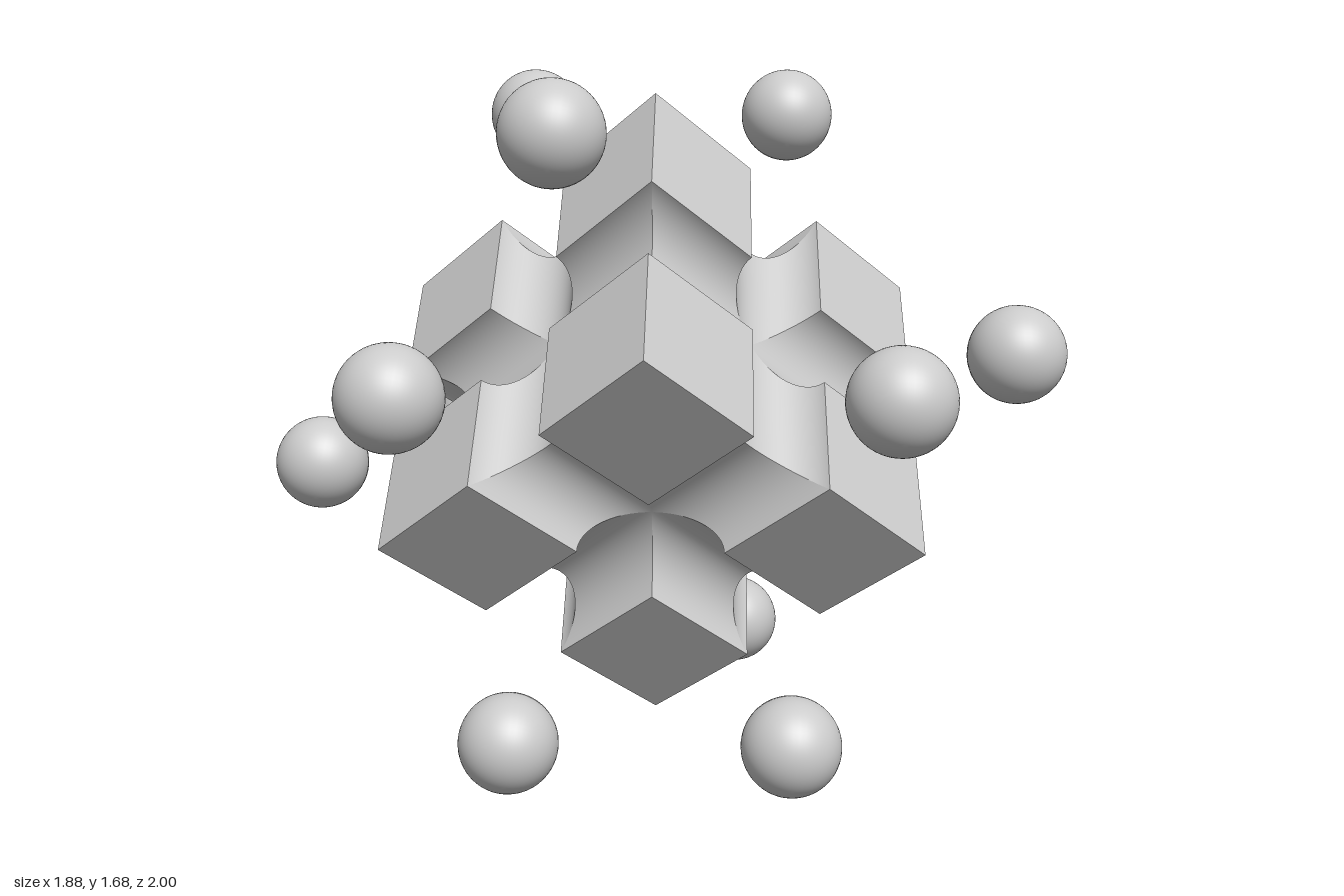
import * as THREE from 'three';
import { mergeGeometries } from 'three/addons/utils/BufferGeometryUtils.js';

const HALF = 0.456;      // half side of the cube
const GROOVE = 0.123;    // radius of the round grooves
const BALL = 0.12;       // radius of the orbiting balls
const NEAR = 0.475, FAR = 0.77; // ball offsets along two cube axes

// One arm of the cross-shaped groove on the top face: a half-round channel
// from the mitred face centre out to the edge of the cube.
function grooveArm(steps = 32) {
  const pos = [], nor = [], idx = [];
  for (let i = 0; i <= steps; i++) {
    const t = (Math.PI * i) / steps;
    const x = -GROOVE * Math.cos(t);
    const y = HALF - GROOVE * Math.sin(t);
    pos.push(x, y, Math.abs(x), x, y, y);
    for (let j = 0; j < 2; j++) nor.push(Math.cos(t), Math.sin(t), 0);
    if (i < steps) {
      const a = i * 2;
      idx.push(a, a + 1, a + 2, a + 1, a + 3, a + 2);
    }
  }
  const g = new THREE.BufferGeometry();
  g.setAttribute('position', new THREE.Float32BufferAttribute(pos, 3));
  g.setAttribute('normal', new THREE.Float32BufferAttribute(nor, 3));
  g.setIndex(idx);
  return g;
}

// Flat square left standing at one corner of the top face
function cornerSquare() {
  const mid = (GROOVE + HALF) / 2;
  const g = new THREE.PlaneGeometry(HALF - GROOVE, HALF - GROOVE);
  g.deleteAttribute('uv');
  return g.rotateX(-Math.PI / 2).translate(mid, HALF, mid);
}

// Four arms and four squares make a face; six faces make the cube
function groovedCube() {
  const quarter = mergeGeometries([grooveArm(), cornerSquare()]);
  const face = mergeGeometries([0, 1, 2, 3].map((k) => quarter.clone().rotateY((k * Math.PI) / 2)));
  const faces = [0, 1, 2, 3].map((k) => face.clone().rotateX((k * Math.PI) / 2));
  faces.push(face.clone().rotateZ(Math.PI / 2), face.clone().rotateZ(-Math.PI / 2));
  return mergeGeometries(faces);
}

export function createModel() {
  const material = new THREE.MeshStandardMaterial({ color: 0xcccccc });
  const model = new THREE.Group();
  model.name = 'groovedCubeWithBalls';

  // Stand the cube on a corner, its body diagonal upright
  const tilted = new THREE.Group();
  tilted.name = 'tiltedAssembly';
  const a = Math.sqrt(2 / 3), b = Math.sqrt(1 / 6), c = Math.sqrt(1 / 3), d = Math.sqrt(1 / 2);
  tilted.quaternion.setFromRotationMatrix(new THREE.Matrix4().makeBasis(
    new THREE.Vector3(a, c, 0),
    new THREE.Vector3(-b, c, -d),
    new THREE.Vector3(-b, c, d)
  ));
  tilted.position.y = c * (NEAR + FAR) + BALL;
  model.add(tilted);

  const cube = new THREE.Mesh(groovedCube(), material);
  cube.name = 'groovedCube';
  tilted.add(cube);

  // A slightly turned square of balls in each of the three mid planes
  const ballGeometry = new THREE.SphereGeometry(BALL, 48, 32);
  const corners = [[NEAR, FAR], [FAR, -NEAR], [-NEAR, -FAR], [-FAR, NEAR]];
  for (const [first, second] of [['x', 'z'], ['x', 'y'], ['z', 'y']]) {
    for (const [p, q] of corners) {
      const ball = new THREE.Mesh(ballGeometry, material);
      ball.name = 'ball';
      ball.position[first] = p;
      ball.position[second] = q;
      tilted.add(ball);
    }
  }
  return model;
}
